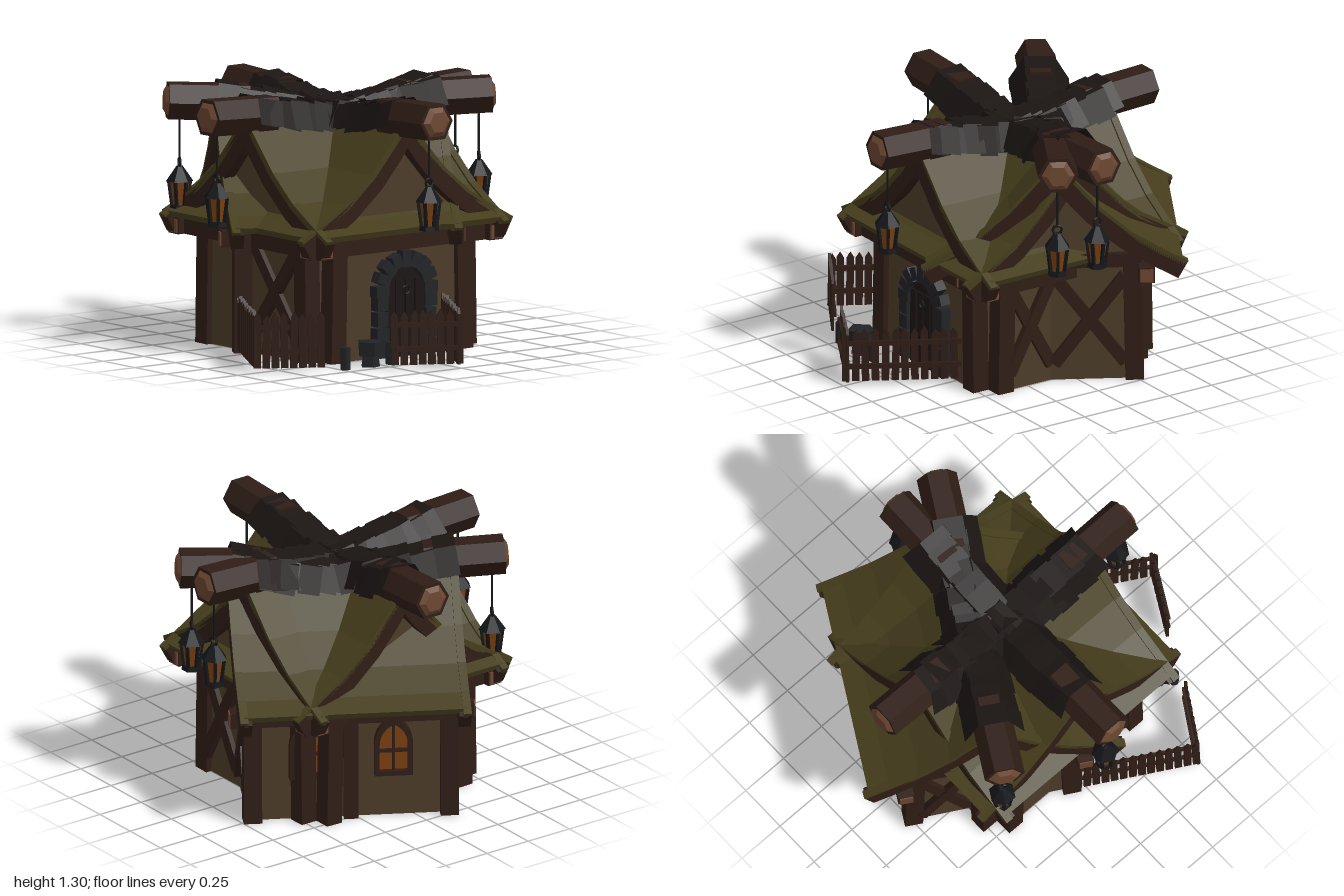
import * as THREE from 'three';

const mat = (color, double) => new THREE.MeshStandardMaterial({
  color, flatShading: true, side: double ? THREE.DoubleSide : THREE.FrontSide });
const WOOD = mat(0x2f1d16), ENDS = mat(0x6b4630), DARK = mat(0x1b1513, true), ROOF = mat(0x453d1c);
const PLASTER = mat(0x4c3c29, true), STONE = mat(0x222326), IRON = mat(0x141619), GLOW = mat(0x7a4010);

// Concave gable slope: distance from the ridge, height; the roof stops short of the barge boards
const BARGE = [[0, 1.15], [0.1, 1.035], [0.21, 0.91], [0.37, 0.775], [0.52, 0.685], [0.645, 0.615]];
const SLOPE = [...BARGE.slice(0, 5), [0.625, 0.64]];
// Half the width and half the length of a wing's walls
const ACROSS = 0.4, ALONG = 0.5;
// Joined outline of the three wings, x and z
const OUTLINE = [[-0.738, 0.163], [-0.238, -0.703], [0.114, -0.5], [0.4, -0.5], [0.4, -0.4], [0.5, -0.4],
  [0.5, 0.4], [0.4, 0.4], [0.4, 0.5], [-0.031, 0.5], [-0.062, 0.553], [-0.154, 0.5], [-0.4, 0.5],
  [-0.4, 0.4], [-0.5, 0.4], [-0.5, 0.3]];

function add(parent, name, geo, material, x = 0, y = 0, z = 0) {
  const m = new THREE.Mesh(geo, material);
  m.name = name;
  m.position.set(x, y, z);
  parent.add(m);
  return m;
}
const box = (p, name, w, h, d, material, x, y, z) =>
  add(p, name, new THREE.BoxGeometry(w, h, d), material, x, y, z);

function group(parent, name, x = 0, y = 0, z = 0, turn = 0) {
  const g = new THREE.Group();
  g.name = name;
  g.position.set(x, y, z);
  g.rotation.y = turn;
  parent.add(g);
  return g;
}

let seed = 7;
const rand = () => (seed = (seed * 16807) % 2147483647) / 2147483647;

// Slope line moved square to itself; negative values go under the roof
function offsetSlope(line, d) {
  return line.map(([x, y], i) => {
    if (i === 0) return [0, y + d * 1.4];
    const a = line[i - 1], b = line[Math.min(i + 1, line.length - 1)];
    const dx = b[0] - a[0], dy = b[1] - a[1], len = Math.hypot(dx, dy);
    return [x - dy / len * d, y + dx / len * d];
  });
}

// Gable-shaped band that follows both slopes, extruded along the ridge
function band(line, up, down, depth) {
  const both = half => [...half.slice(1).reverse().map(([x, y]) => [-x, y]), ...half];
  const pts = [...both(offsetSlope(line, up)), ...both(offsetSlope(line, -down)).reverse()]
    .map(p => new THREE.Vector2(...p));
  const g = new THREE.ExtrudeGeometry(new THREE.Shape(pts), { depth, bevelEnabled: false });
  return g.translate(0, 0, -depth / 2);
}

// Plaster triangle between wall top and roof
function gableGeometry() {
  const right = [...SLOPE.slice(0, 4), [0.5, 0.7]];
  const left = right.slice(1).reverse().map(([x, y]) => [-x, y]);
  return new THREE.ShapeGeometry(new THREE.Shape([...left, ...right]
    .map(([x, y]) => new THREE.Vector2(x, y - 0.02))));
}

// Pointed arch outline, its foot at y = 0
function archShape(w, h) {
  const s = new THREE.Shape();
  s.moveTo(-w / 2, 0);
  s.lineTo(w / 2, 0);
  s.lineTo(w / 2, h * 0.55);
  s.quadraticCurveTo(w / 2, h * 0.85, 0, h);
  s.quadraticCurveTo(-w / 2, h * 0.85, -w / 2, h * 0.55);
  return s;
}

function lantern(parent, z) {
  const g = group(parent, 'lantern', 0, 0.65, z);
  add(g, 'lanternCord', new THREE.CylinderGeometry(0.006, 0.006, 0.24, 5), IRON, 0, 0.37, 0);
  add(g, 'lanternRing', new THREE.TorusGeometry(0.022, 0.007, 5, 8), IRON, 0, 0.235, 0);
  add(g, 'lanternHood', new THREE.CylinderGeometry(0.016, 0.068, 0.075, 6), IRON, 0, 0.18, 0);
  add(g, 'lanternGlass', new THREE.CylinderGeometry(0.052, 0.036, 0.12, 6), GLOW, 0, 0.085, 0);
  add(g, 'lanternBase', new THREE.CylinderGeometry(0.046, 0.05, 0.025, 6), IRON, 0, 0.0125, 0);
  for (let i = 0; i < 6; i++) {
    const post = group(g, 'lanternBar', 0, 0.085, 0, i * Math.PI / 3);
    box(post, 'bar', 0.015, 0.13, 0.015, IRON, 0, 0, 0.046).rotation.x = 0.13;
  }
}

// Cylinder along z, with a flat top when six-sided
const hex = (r1, r2, len, ...arc) => new THREE.CylinderGeometry(r1, r2, len, ...arc).rotateX(Math.PI / 2);

// One roof wing, ridge along local z
function wing(parent, name, x, z, turn, plate, lanterns) {
  const g = group(parent, name, x, 0, z, turn);
  add(g, 'roofSlopes', band(SLOPE, 0.012, 0.02, 1.1), ROOF);
  for (const s of [-1, 1]) {
    add(g, 'bargeBoards', band(BARGE, 0.005, 0.08, 0.06), WOOD, 0, 0, s * 0.54);
    add(g, 'bargeTrim', band(BARGE, 0.022, 0.01, 0.04), ROOF, 0, 0, s * 0.55);
    add(g, 'gableWall', gableGeometry(), PLASTER, 0, 0, s * ALONG);
    box(g, 'wallPlate', 0.08, 0.08, 1.2, WOOD, s * plate, 0.575, 0);
    box(g, 'tieBeam', 2 * ACROSS, 0.07, 0.06, WOOD, 0, 0.63, s * ALONG);
    for (const e of [-1, 1]) {
      box(g, 'plateEnd', 0.066, 0.066, 0.01, ENDS, s * plate, 0.575, e * 0.602);
      const post = box(g, 'cornerPost', 0.09, 0.66, 0.09, WOOD, s * (ACROSS - 0.01), 0.33, e * (ALONG - 0.015));
      post.rotation.z = s * 0.02;
    }
    // Six-sided ridge log end, tilted slightly up
    const log = group(g, 'ridgeLog', 0, 1.185, s * 0.6);
    log.rotation.x = -s * 0.04;
    const sides = [6, 1, false, Math.PI / 2];
    add(log, 'log', hex(0.1, 0.1, 0.4, ...sides), WOOD);
    const radii = s > 0 ? [0.085, 0.055] : [0.055, 0.085];
    add(log, 'logEnd', hex(...radii.reverse(), 0.02, ...sides), ENDS, 0, 0, s * 0.208);
    // Overlapping ridge shingles along a sagging line
    for (let i = 0; i < 8; i++) {
      const t = 0.03 + i * 0.07, r = 0.132 + rand() * 0.022;
      const tile = add(g, 'ridgeShingle', hex(r, r, 0.11, 3, 1, true, Math.PI / 2, Math.PI),
        DARK, 0, 1.085 + 0.24 * t * t, s * t);
      tile.rotation.set(-s * (0.16 + rand() * 0.14), (rand() - 0.5) * 0.16, (rand() - 0.5) * 0.18);
    }
  }
  for (const s of lanterns) lantern(g, s * 0.74);
  return g;
}

// Crossed timbers on a gable face, between two local x positions
function cross(parent, turn, x1, x2) {
  const g = group(parent, 'crossBrace', 0, 0, 0, turn);
  const w = x2 - x1, h = 0.46;
  for (const s of [-1, 1]) {
    const b = box(g, 'brace', Math.hypot(w, h), 0.06, 0.035, WOOD, (x1 + x2) / 2, 0.32, ALONG + 0.012 + s * 0.004);
    b.rotation.z = s * Math.atan2(h, w);
  }
}

function archedWindow(parent, x, z) {
  const g = group(parent, 'window', x, 0.22, z);
  const frame = archShape(0.19, 0.31);
  frame.holes.push(new THREE.Path(archShape(0.14, 0.25).getPoints(6).map(p => p.add(new THREE.Vector2(0, 0.025)))));
  const depth = 0.05;
  add(g, 'windowFrame', new THREE.ExtrudeGeometry(frame, { depth, bevelEnabled: false, curveSegments: 6 }), WOOD, 0, 0, -0.012);
  add(g, 'windowPane', new THREE.ShapeGeometry(archShape(0.16, 0.27), 6), GLOW, 0, 0.015, 0.01);
  box(g, 'windowBar', 0.014, 0.25, 0.04, WOOD, 0, 0.145, 0.01);
  box(g, 'windowBar', 0.14, 0.014, 0.04, WOOD, 0, 0.13, 0.01);
}

function doorway(parent) {
  const g = group(parent, 'doorway', ALONG, 0, -0.01, Math.PI / 2);
  add(g, 'door', new THREE.ExtrudeGeometry(archShape(0.27, 0.47), { depth: 0.025, bevelEnabled: false }), DARK);
  for (let i = 0; i < 4; i++) box(g, 'doorPlank', 0.05, 0.38, 0.012, DARK, (i - 1.5) * 0.06, 0.19, 0.03);
  add(g, 'doorRing', new THREE.TorusGeometry(0.02, 0.006, 5, 10), IRON, 0, 0.33, 0.045);
  // Stones up both jambs and round the arch
  for (const s of [-1, 1]) for (let i = 0; i < 4; i++)
    box(g, 'jambStone', 0.06 + rand() * 0.02, 0.07, 0.07, STONE, s * 0.15, 0.04 + i * 0.078, 0.02);
  for (let i = 0; i < 9; i++) {
    const a = Math.PI * i / 8;
    box(g, 'archStone', 0.065 + rand() * 0.02, 0.052, 0.07, STONE,
      Math.cos(a) * 0.15, 0.335 + Math.sin(a) * 0.15, 0.02).rotation.z = a;
  }
}

function fence(parent, a, b) {
  const dx = b[0] - a[0], dz = b[1] - a[1], len = Math.hypot(dx, dz);
  const g = group(parent, 'fence', a[0], 0, a[1], -Math.atan2(dz, dx));
  const count = Math.round(len / 0.047);
  for (let i = 0; i <= count; i++) {
    const h = 0.265 + rand() * 0.015, w = 0.018;
    const s = new THREE.Shape([[-w, 0], [w, 0], [w, h - 0.03], [0, h], [-w, h - 0.03]]
      .map(p => new THREE.Vector2(...p)));
    const p = add(g, 'picket', new THREE.ExtrudeGeometry(s, { depth: 0.014, bevelEnabled: false }), WOOD,
      len * i / count, 0.02, 0);
    p.rotation.z = (rand() - 0.5) * 0.05;
  }
  for (const y of [0.1, 0.22]) box(g, 'fenceRail', len, 0.025, 0.014, WOOD, len / 2, y, -0.006);
}

export function createModel() {
  const model = new THREE.Group();
  model.name = 'cottage';

  // Two crossing wings and a third one turned by thirty degrees
  wing(model, 'frontBackWing', 0, 0, 0, 0.525, [1, -1]);
  wing(model, 'sideWing', 0, 0, Math.PI / 2, 0.525, [1]);
  const skew = wing(model, 'skewedWing', -0.15, -0.075, -Math.PI / 6, 0.45, [1, -1]);

  // Plaster walls round the joined outline
  OUTLINE.forEach(([x, z], i) => {
    const [x2, z2] = OUTLINE[(i + 1) % OUTLINE.length];
    const wall = add(model, 'wall', new THREE.PlaneGeometry(Math.hypot(x2 - x, z2 - z), 0.69), PLASTER,
      (x + x2) / 2, 0.345, (z + z2) / 2);
    wall.rotation.y = -Math.atan2(z2 - z, x2 - x);
  });
  const windowWall = group(skew, 'windowWall', 0, 0, 0, -Math.PI / 2);
  for (const x of [-0.21, 0.21]) archedWindow(windowWall, x, 0.39);
  box(windowWall, 'middlePost', 0.07, 0.66, 0.06, WOOD, 0, 0.33, 0.4);

  // Wall timbers
  cross(model, 0, 0.0, 0.36);
  cross(model, Math.PI, -0.37, -0.12);
  cross(skew, 0, -0.36, -0.12);
  cross(skew, Math.PI, 0, 0.35);

  // Door and fenced yard
  doorway(model);
  for (const line of [[[0.48, -0.29], [0.985, 0], [0.83, 0.28]], [[-0.03, 0.575], [0.485, 0.87], [0.65, 0.6]]])
    for (let i = 0; i < 2; i++) fence(model, line[i], line[i + 1]);
  add(model, 'yardTable', new THREE.CylinderGeometry(0.07, 0.065, 0.07, 5), STONE, 0.68, 0.09, 0.32);
  add(model, 'tableFoot', new THREE.CylinderGeometry(0.04, 0.05, 0.06, 5), STONE, 0.68, 0.03, 0.32);
  for (const z of [0.2, 0.48])
    add(model, 'yardStool', new THREE.CylinderGeometry(0.026, 0.026, 0.11, 6), STONE, 0.69, 0.055, z);
  return model;
}
